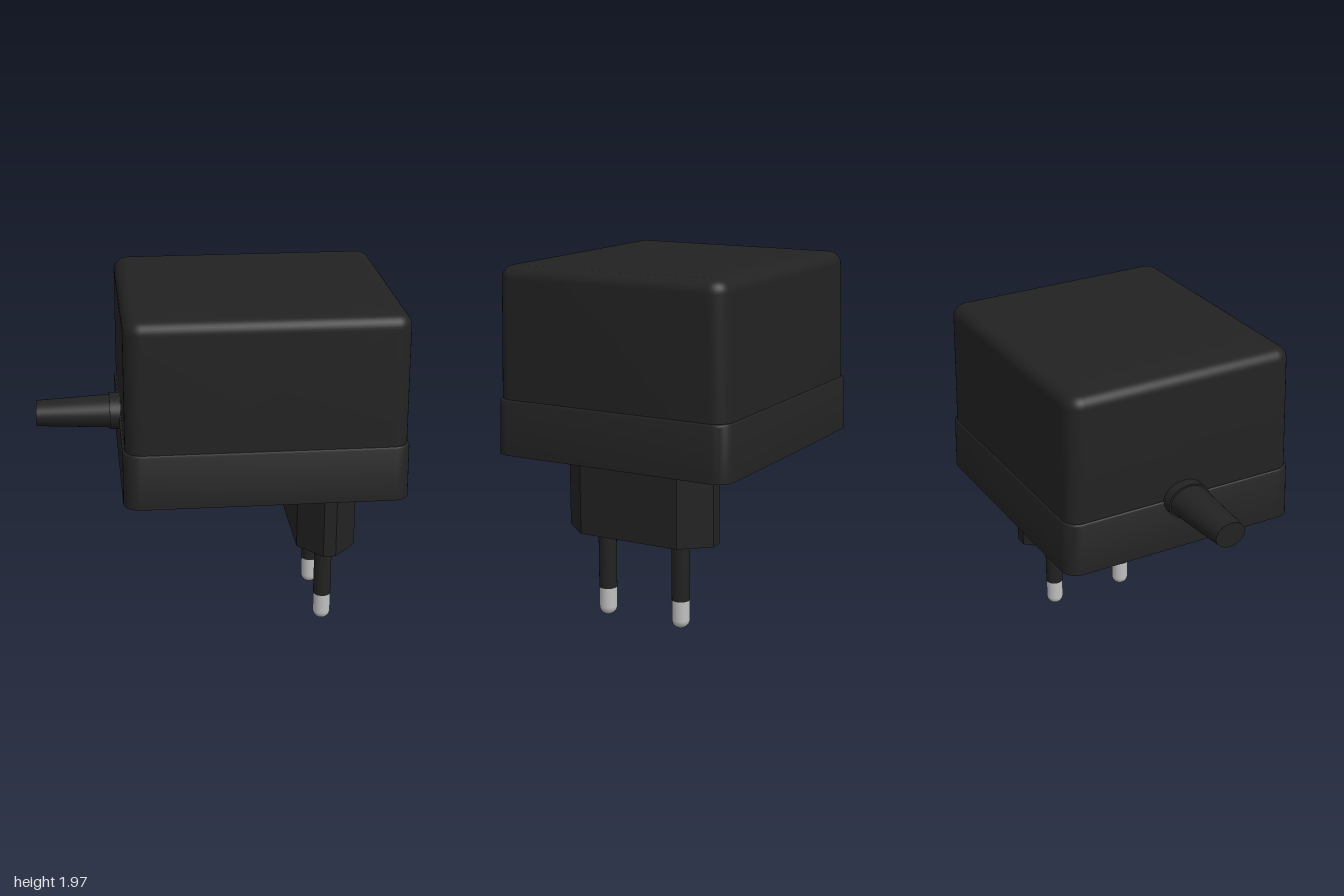
import * as THREE from 'three';
import { toCreasedNormals } from 'three/addons/utils/BufferGeometryUtils.js';

const black = new THREE.MeshStandardMaterial({ color: 0x222222 });
black.name = 'black plastic';
const metal = new THREE.MeshStandardMaterial({ color: 0xc0c0c0 });
metal.name = 'pin metal';

const CX = 0.225; // centre of the case in x
const PLUG_X = 0.61; // centre of the plug in x

function part(parent, name, geometry, material, x = 0, y = 0, z = 0) {
  const mesh = new THREE.Mesh(geometry, material);
  mesh.name = name;
  mesh.position.set(x, y, z);
  parent.add(mesh);
  return mesh;
}

// Rounded-rectangle ring: half sizes hx, hz and corner radius r
function ring(y, hx, hz, r, steps = 8) {
  const pts = [];
  [[1, 1], [-1, 1], [-1, -1], [1, -1]].forEach(([sx, sz], corner) => {
    for (let i = 0; i <= steps; i++) {
      const a = (corner + i / steps) * Math.PI / 2;
      pts.push([sx * (hx - r) + r * Math.cos(a), y, sz * (hz - r) + r * Math.sin(a)]);
    }
  });
  return pts;
}

// Closed solid through a stack of rings, bottom to top
function loft(rings) {
  const n = rings[0].length;
  const bottom = [0, rings[0][0][1], 0];
  const top = [0, rings[rings.length - 1][0][1], 0];
  const pos = [];
  const tri = (...pts) => pts.forEach((p) => pos.push(...p));
  for (let i = 0; i < n; i++) {
    const k = (i + 1) % n;
    for (let j = 0; j < rings.length - 1; j++) {
      const lo = rings[j], hi = rings[j + 1];
      tri(lo[i], hi[i], lo[k]);
      tri(lo[k], hi[i], hi[k]);
    }
    tri(bottom, rings[0][i], rings[0][k]);
    tri(top, rings[rings.length - 1][k], rings[rings.length - 1][i]);
  }
  const g = new THREE.BufferGeometry();
  g.setAttribute('position', new THREE.Float32BufferAttribute(pos, 3));
  return toCreasedNormals(g, 0.5);
}

// Tapered box with rounded upright edges and a filleted top edge
function taperedCase(y0, y1, bottom, top, corner, fillet) {
  const rings = [ring(y0, bottom[0], bottom[1], corner)];
  const steps = 8;
  for (let i = 0; i <= steps; i++) {
    const a = (i / steps) * Math.PI / 2;
    const inset = fillet * (1 - Math.cos(a));
    rings.push(ring(y1 - fillet * (1 - Math.sin(a)), top[0] - inset, top[1] - inset, corner - inset));
  }
  return loft(rings);
}

export function createModel() {
  const model = new THREE.Group();
  model.name = 'plugInPowerAdapter';

  // Case: wider base and slightly tapered cover
  part(model, 'caseBase', taperedCase(0.95, 1.255, [0.77, 0.708], [0.768, 0.7], 0.09, 0.015), black, CX);
  part(model, 'caseCover', taperedCase(1.2, 1.97, [0.757, 0.692], [0.755, 0.675], 0.09, 0.07), black, CX);

  // Plug block with pointed ends
  const outline = new THREE.Shape([
    [0.165, -0.3], [0.165, 0.3], [0.035, 0.45], [-0.035, 0.45],
    [-0.165, 0.3], [-0.165, -0.3], [-0.035, -0.45], [0.035, -0.45],
  ].map(([x, y]) => new THREE.Vector2(x, y)));
  const block = new THREE.ExtrudeGeometry(outline, { depth: 0.46, bevelEnabled: false });
  block.rotateX(-Math.PI / 2);
  part(model, 'plugBlock', block, black, PLUG_X, 0.5, 0);

  // Two pins: insulated shaft and rounded metal tip
  const shaft = new THREE.CylinderGeometry(0.05, 0.05, 0.36, 24);
  const profile = [];
  for (let i = 0; i <= 8; i++) {
    const a = (i / 8) * Math.PI / 2;
    profile.push(new THREE.Vector2(0.05 * Math.sin(a), 0.05 * (1 - Math.cos(a))));
  }
  profile.push(new THREE.Vector2(0.05, 0.16));
  const tip = new THREE.LatheGeometry(profile, 24);
  for (const [side, s] of [['front', 1], ['back', -1]]) {
    part(model, side + 'PinShaft', shaft, black, PLUG_X, 0.34, s * 0.232);
    part(model, side + 'PinTip', tip, metal, PLUG_X, 0, s * 0.232);
  }

  // Oval cable sleeve with a collar, pointing to -x
  const sleeve = (r0, r1, length) => new THREE.CylinderGeometry(r1, r0, length, 40)
    .scale(1, 1, 1.27).rotateZ(Math.PI / 2);
  part(model, 'cableCollar', sleeve(0.1, 0.1, 0.12), black, -0.532, 1.25, 0);
  part(model, 'cableSleeve', sleeve(0.092, 0.07, 0.44), black, -0.78, 1.25, 0);

  return model;
}
